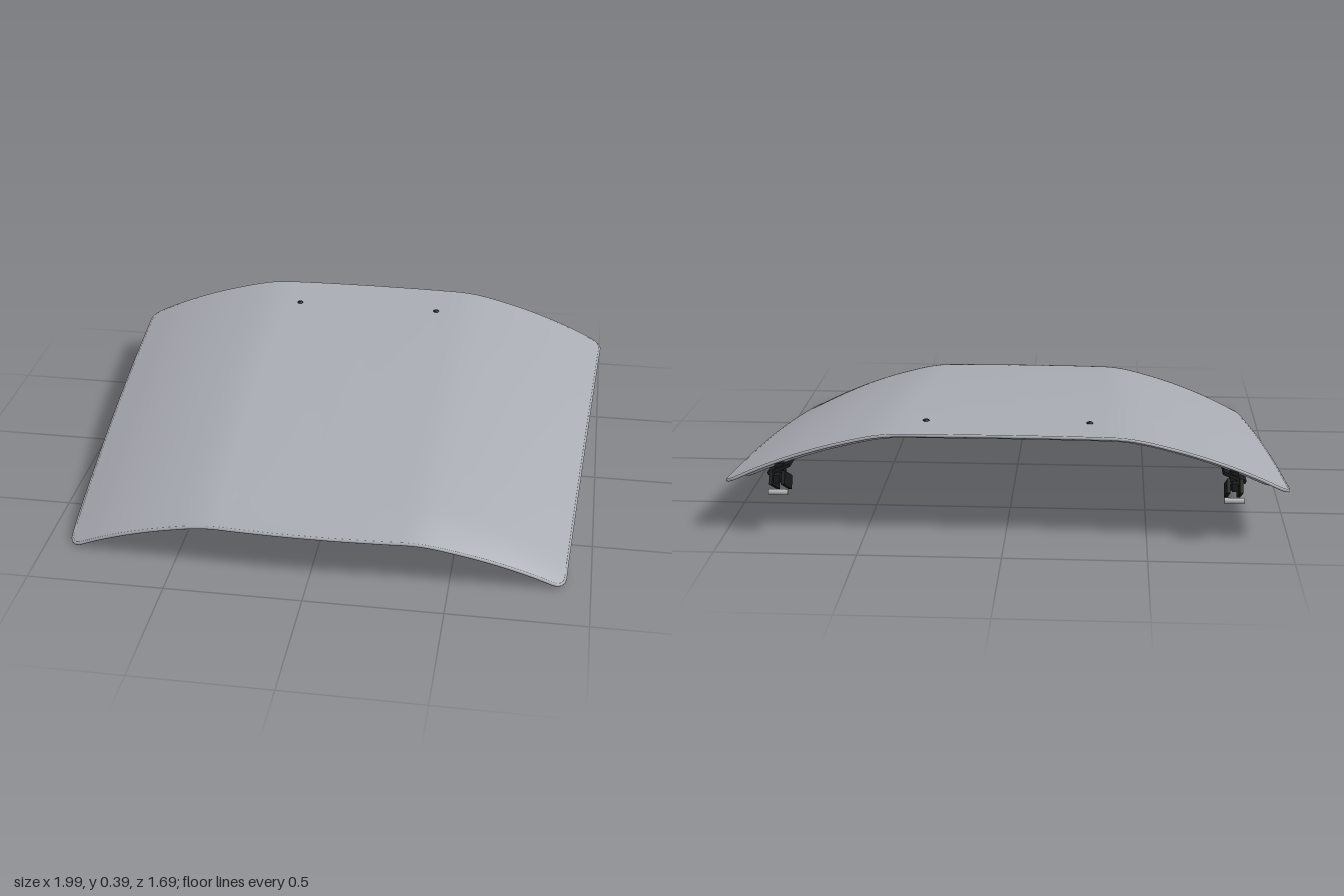
import * as THREE from 'three';

const paint = new THREE.MeshStandardMaterial({ name: 'greyPaint', color: 0xa8abb2 });
const black = new THREE.MeshStandardMaterial({ name: 'blackPlastic', color: 0x1a1b1c });
const metal = new THREE.MeshStandardMaterial({ name: 'bareMetal', color: 0xb4b4b4 });

const CORNER = 0.045;
const smooth = (a, b, x) => THREE.MathUtils.smoothstep(x, a, b);

// Smooth interpolation through a few [x, y] points (cubic Hermite)
function profile(pts) {
  const n = pts.length;
  const slope = i => {
    const a = pts[Math.max(i - 1, 0)], b = pts[Math.min(i + 1, n - 1)];
    return (b[1] - a[1]) / (b[0] - a[0]);
  };
  return x => {
    let i = 0;
    while (i < n - 2 && x > pts[i + 1][0]) i++;
    const [x0, y0] = pts[i], [x1, y1] = pts[i + 1], h = x1 - x0, t = (x - x0) / h;
    const t2 = t * t, t3 = t2 * t;
    return y0 * (2 * t3 - 3 * t2 + 1) + slope(i) * h * (t3 - 2 * t2 + t)
      + y1 * (3 * t2 - 2 * t3) + slope(i + 1) * h * (t3 - t2);
  };
}

// Centre line from back to front, and the fall towards each side
const centreLine = profile([[-0.84, 0.394], [-0.4, 0.37], [0, 0.333], [0.4, 0.28], [0.62, 0.244],
  [0.72, 0.222], [0.8, 0.19], [0.85, 0.163]]);
const sideFall = profile([[0, 0], [0.3, 0.002], [0.44, 0.008], [0.6, 0.043], [0.74, 0.085],
  [0.87, 0.134], [1, 0.193]]);
const halfWidth = z => 0.994 - 0.0556 * (z + 0.82);
const skinY = (x, z) => centreLine(z) - sideFall(Math.min(1, Math.abs(x) / halfWidth(z)));

// Row positions: distance from the back end, with fine steps round the corners
function rowOffsets(n) {
  const L = 1.67, k = 6, rows = [];
  const ends = Array.from({ length: k + 1 }, (_, i) => CORNER * (1 - Math.cos(i / k * Math.PI / 2)));
  rows.push(...ends);
  for (let i = 1; i < n; i++) rows.push(CORNER + (L - 2 * CORNER) * i / n);
  rows.push(...ends.map(d => L - d).reverse());
  return rows.map(d => ({ d, t: d / L, end: Math.min(d, L - d) }));
}

// Plan position of a point: u runs across, row runs back to front
function planPoint(u, row) {
  const z = THREE.MathUtils.lerp(-0.832 + 0.018 * u * u, 0.84 - 0.055 * u * u, row.t);
  const q = Math.max(0, CORNER - row.end);
  const w = halfWidth(z) - CORNER + Math.sqrt(CORNER * CORNER - q * q);
  return { x: u * w, z, inset: (1 - Math.abs(u)) * w };
}

// Curved sheet lying under the skin by a given depth
function sheet(cols, rowCount, depth, down) {
  const rows = rowOffsets(rowCount), pos = [], idx = [];
  rows.forEach((row, i) => {
    for (let j = 0; j <= cols; j++) {
      const p = planPoint(j / cols * 2 - 1, row);
      pos.push(p.x, skinY(p.x, p.z) - depth(p, row), p.z);
      if (i === rows.length - 1 || j === cols) continue;
      const a = i * (cols + 1) + j, b = a + 1, c = a + cols + 1, d = c + 1;
      idx.push(...(down ? [a, b, c, b, d, c] : [a, c, b, b, c, d]));
    }
  });
  const g = new THREE.BufferGeometry();
  g.setAttribute('position', new THREE.Float32BufferAttribute(pos, 3));
  g.setIndex(idx);
  g.computeVertexNormals();
  return g;
}

// Signed distance to a rounded rectangle, used for the pressed pockets
function roundedRect(x, z, hx, hz, r) {
  const a = Math.abs(x) - hx + r, b = Math.abs(z) - hz + r;
  return Math.hypot(Math.max(a, 0), Math.max(b, 0)) + Math.min(Math.max(a, b), 0) - r;
}

// Depth of the inner panel: rim groove, raised frame, four pockets
function innerDepth(p, row) {
  const R = 0.1;
  const edge = Math.max(0, R - Math.hypot(Math.max(R - p.inset, 0), Math.max(R - row.end, 0)));
  const frame = 0.007 + 0.025 * smooth(0.025, 0.065, edge);
  let pocket = Infinity;
  for (const [cz, hx, hz] of [[-0.29, 0.29, 0.25], [0.39, 0.27, 0.23]]) {
    // pockets narrow a little towards the front
    const hw = hx - 0.08 * (p.z - cz);
    pocket = Math.min(pocket, roundedRect(Math.abs(p.x) - 0.41, p.z - cz, hw, hz, 0.1));
  }
  return frame - 0.024 * (1 - smooth(-0.05, 0.005, pocket));
}

function add(parent, name, geometry, material, x = 0, y = 0, z = 0) {
  const m = new THREE.Mesh(geometry, material);
  m.name = name;
  m.position.set(x, y, z);
  parent.add(m);
  return m;
}

// Closed path round the outer edge
function edgePath() {
  const rows = rowOffsets(24), pts = [], last = rows.length - 1;
  const put = (u, row) => {
    const p = planPoint(u, row);
    pts.push(new THREE.Vector3(p.x, skinY(p.x, p.z) - 0.005, p.z));
  };
  for (let j = 0; j < 30; j++) put(j / 15 - 1, rows[0]);
  for (let i = 0; i < last; i++) put(1, rows[i]);
  for (let j = 0; j < 30; j++) put(1 - j / 15, rows[last]);
  for (let i = last; i > 0; i--) put(-1, rows[i]);
  return new THREE.CatmullRomCurve3(pts, true);
}

function hinge(side) {
  const g = new THREE.Group();
  g.name = side > 0 ? 'leftHinge' : 'rightHinge';
  // mounting plate following the panel
  const plate = add(g, 'hingePlate', new THREE.BoxGeometry(0.085, 0.012, 0.13), black,
    side * 0.8, skinY(0.8, -0.74) - 0.036, -0.74);
  plate.rotation.z = -side * 0.4;
  // tilted hinge arms
  const arm = new THREE.Group();
  arm.name = 'hingeArms';
  arm.position.set(side * 0.8, 0.195, -0.775);
  arm.rotation.x = 0.46;
  for (const dx of [-0.022, 0.022]) add(arm, 'hingeArm', new THREE.BoxGeometry(0.012, 0.05, 0.14), black, dx);
  add(arm, 'hingeWeb', new THREE.BoxGeometry(0.05, 0.012, 0.11), black, 0, 0.012, 0.01);
  g.add(arm);
  add(g, 'hingePost', new THREE.BoxGeometry(0.03, 0.07, 0.05), black, side * 0.8, 0.228, -0.77);
  add(g, 'hingeTip', new THREE.BoxGeometry(0.022, 0.03, 0.03), black, side * 0.8, 0.22, -0.828);
  // pivot pin
  const pin = add(g, 'hingePin', new THREE.CylinderGeometry(0.01, 0.01, 0.07, 16), metal, side * 0.8, 0.166, -0.822);
  pin.rotation.z = Math.PI / 2;
  return g;
}

export function createModel() {
  const model = new THREE.Group();
  model.name = 'bonnet';

  add(model, 'outerSkin', sheet(80, 64, () => 0, false), paint);
  add(model, 'innerPanel', sheet(160, 136, innerDepth, true), paint);
  add(model, 'edgeHem', new THREE.TubeGeometry(edgePath(), 400, 0.006, 8, true), paint);

  for (const side of [1, -1]) {
    model.add(hinge(side));
    // washer nozzle on top
    const nozzle = add(model, 'washerNozzle', new THREE.SphereGeometry(0.012, 16, 10), black,
      side * 0.293, skinY(0.293, -0.64), -0.64);
    nozzle.scale.y = 0.6;
    // rubber stop under the front corner
    add(model, 'rubberStop', new THREE.CylinderGeometry(0.016, 0.013, 0.03, 16), black,
      side * 0.73, skinY(0.73, 0.68) - 0.042, 0.68);
  }

  // latch loop under the front edge
  const y = skinY(0, 0.66) - 0.03;
  const loop = new THREE.CatmullRomCurve3([[-0.03, y], [-0.03, 0.14], [-0.021, 0.119], [0, 0.111],
    [0.021, 0.119], [0.03, 0.14], [0.03, y]].map(([a, b]) => new THREE.Vector3(a, b, 0.66)));
  add(model, 'latchLoop', new THREE.TubeGeometry(loop, 40, 0.006, 8), metal);
  add(model, 'latchPlate', new THREE.BoxGeometry(0.1, 0.008, 0.05), metal, 0, y - 0.003, 0.66).rotation.x = 0.17;

  return model;
}
